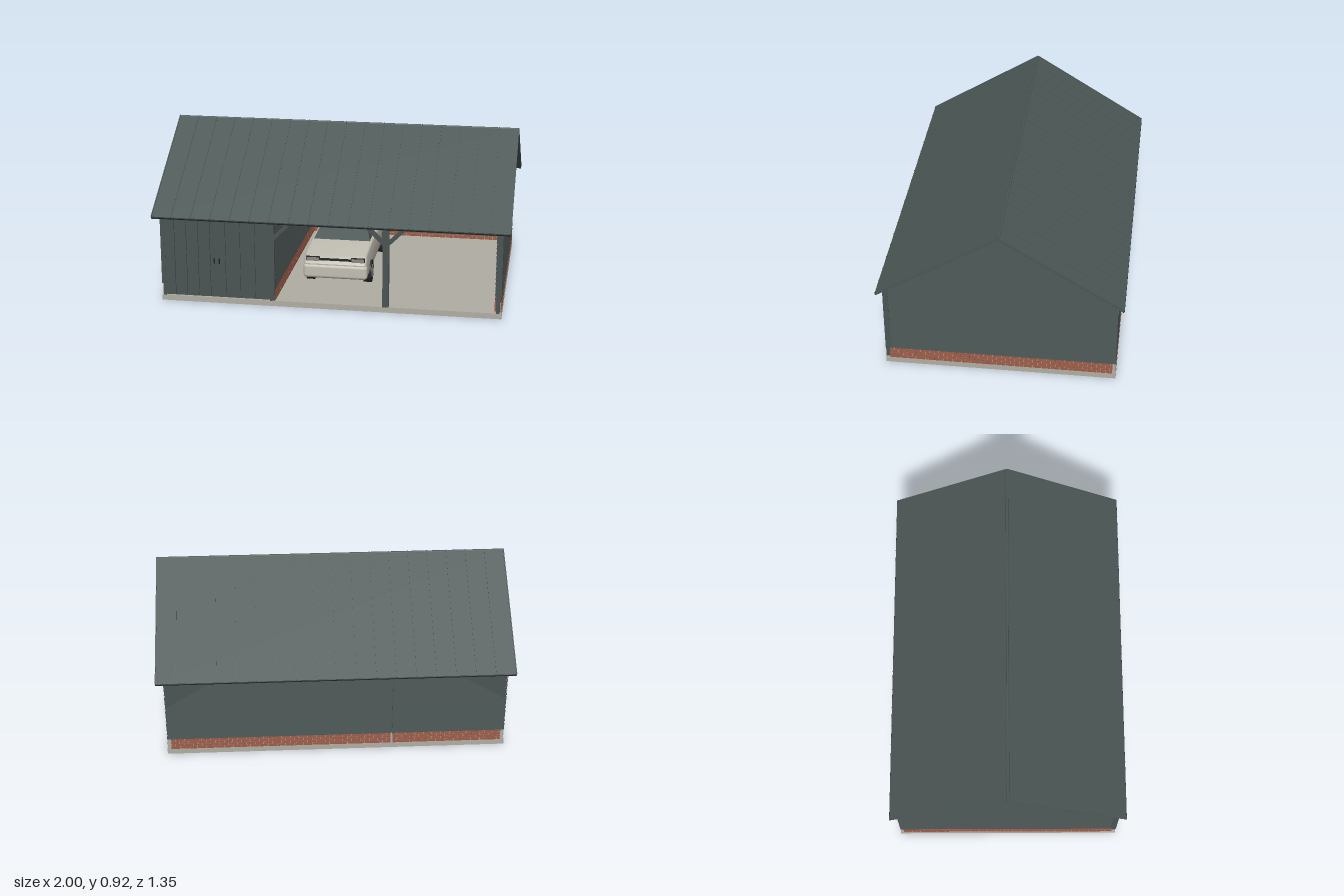
import * as THREE from 'three';
import { mergeGeometries, toCreasedNormals } from 'three/addons/utils/BufferGeometryUtils.js';
import { RoundedBoxGeometry } from 'three/addons/geometries/RoundedBoxGeometry.js';

const mat = (name, color) => {
  const m = new THREE.MeshStandardMaterial({ color });
  m.name = name;
  return m;
};

// Box between two corners
const box = (x0, x1, y0, y1, z0, z1) =>
  new THREE.BoxGeometry(x1 - x0, y1 - y0, z1 - z0).translate((x0 + x1) / 2, (y0 + y1) / 2, (z0 + z1) / 2);

const polygon = (pts) => new THREE.Shape(pts.map(([a, b]) => new THREE.Vector2(a, b)));

// Side profile in (z, y), extruded along x and centred on x = 0
const profile = (pts, width, bevel = 0) =>
  new THREE.ExtrudeGeometry(polygon(pts), {
    depth: width - 2 * bevel, bevelEnabled: bevel > 0, bevelSize: bevel, bevelThickness: bevel,
    bevelOffset: -bevel, bevelSegments: 3,
  }).translate(0, 0, bevel - width / 2).rotateY(-Math.PI / 2);

// Height of the roof underside at a given |z|, and the inverse
const SLOPE = 0.615, APEX = 0.9;
const roofReach = (y) => Math.max(0, (APEX - y) / SLOPE);

// Overlapping weatherboards facing +z; span(y) gives the left and right ends
function cladding(span, y0, y1, pitch = 0.03) {
  const boards = [];
  for (let y = y0; y < y1 - 0.005; y += pitch) {
    const top = Math.min(y + pitch, y1);
    const [a, b] = span(y), [c, d] = span(top);
    const g = new THREE.ExtrudeGeometry(polygon([[a, y], [b, y], [d, top], [c, top]]), { depth: 0.004, bevelEnabled: false });
    const p = g.attributes.position;
    for (let i = 0; i < p.count; i++) p.setZ(i, p.getZ(i) + 0.005 * (1 - (p.getY(i) - y) / pitch));
    g.computeVertexNormals();
    boards.push(g);
  }
  return mergeGeometries(boards);
}

// Staggered brick courses facing +z
function brickwork(u0, u1) {
  const bricks = [], len = 0.05, h = 0.0175, gap = 0.0025;
  for (let row = 0; row < 4; row++) {
    const y = 0.03 + row * h;
    for (let u = u0 - (row % 2) * len / 2; u < u1 - 0.004; u += len) {
      const a = Math.max(u, u0), b = Math.min(u + len - gap, u1);
      if (b - a > 0.003) bricks.push(box(a, b, y + (row ? gap : 0), y + h, 0, 0.006));
    }
  }
  return mergeGeometries(bricks);
}

export function createModel() {
  const timber = mat('dark painted timber', 0x4a5553);
  const roofing = mat('roof sheet', 0x4c5755);
  const concrete = mat('concrete and mortar', 0xb0aea3);
  const brick = mat('brick', 0x9c5d49);
  const iron = mat('black iron', 0x232827);
  const paint = mat('car paint', 0xc2bfb3);
  const glass = mat('glass', 0x46514f);
  const rubber = mat('tyre rubber', 0x2b2c2b);
  const lamp = mat('lamp lens', 0x8d8b82);

  const model = new THREE.Group();
  model.name = 'openFrontedGarage';
  const add = (name, geo, material, parent = model) => {
    const m = new THREE.Mesh(geo, material);
    m.name = name;
    parent.add(m);
    return m;
  };

  add('floorSlab', box(-0.96, 0.96, 0, 0.032, -0.64, 0.64), concrete);

  // Wall cores with light mortar plinths below
  const walls = new THREE.Group();
  walls.name = 'walls';
  model.add(walls);
  const gable = [[-0.63, 0.1], [0.63, 0.1], [0.63, 0.51], [0, APEX], [-0.63, 0.51]];
  for (const s of [-1, 1]) {
    add('gableCore', profile(gable, 0.02).translate(s * 0.94, 0, 0), timber, walls);
    add('gablePlinth', box(s * 0.944 - 0.012, s * 0.944 + 0.012, 0.03, 0.1, -0.638, 0.612), concrete, walls);
  }
  add('backCore', box(-0.95, 0.95, 0.1, 0.51, -0.63, -0.61), timber, walls);
  add('backPlinth', box(-0.955, 0.955, 0.03, 0.1, -0.636, -0.61), concrete, walls);
  add('partitionCore', box(-0.33, -0.315, 0.1, 0.51, -0.62, 0.62), timber, walls);
  add('partitionPlinth', box(-0.333, -0.312, 0.03, 0.1, -0.62, 0.628), concrete, walls);

  // Boarded and bricked faces: [name, angle, x, z, u0, u1, gabled]
  const H = Math.PI / 2, S = 0.315;
  const faces = [
    ['leftGable', H, 0.95, 0, -0.635, 0.638, true],
    ['rightGable', -H, -0.95, 0, -0.638, 0.635, true],
    ['backLeft', 2 * H, 0, -0.63, -0.955, S - 0.002, false],
    ['backRight', 2 * H, 0, -0.63, S + 0.002, 0.955, false],
    ['insideBack', 0, 0, -0.61, -0.31, 0.93, false],
    ['insideLeft', -H, 0.93, 0, -0.61, 0.62, false],
    ['partitionFace', H, -0.315, 0, -0.62, 0.61, false],
  ];
  for (const [name, angle, x, z, u0, u1, gabled] of faces) {
    const span = (y) => [Math.max(u0, -roofReach(y)), Math.min(u1, roofReach(y))];
    const place = (g) => g.rotateY(angle).translate(x, 0, z);
    add(name + 'Boards', place(cladding(span, 0.1, gabled ? 0.89 : 0.505)), timber, walls);
    const inset = gabled || name.startsWith('back') ? 0.018 : 0;
    const b0 = name === 'backRight' ? u0 + 0.004 : u0 + inset;
    const b1 = name === 'backLeft' ? u1 - 0.004 : u1 - inset;
    add(name + 'Bricks', place(brickwork(b0, b1).translate(0, 0, 0.003)), brick, walls);
  }

  // Front frame: posts, eaves beam and diagonal braces
  const frame = new THREE.Group();
  frame.name = 'frontFrame';
  model.add(frame);
  for (const [x0, x1] of [[0.3, 0.335], [-0.335, -0.308], [0.93, 0.95], [-0.95, -0.935]])
    add('post', box(x0, x1, 0.03, 0.5, 0.61, 0.64), timber, frame);
  for (const s of [-1, 1])
    add('cornerBoard', box(s * 0.953 - 0.006, s * 0.953 + 0.006, 0.1, 0.505, 0.61, 0.64), timber, frame);
  for (const z of [0.62, -0.62])
    add('eavesBeam', box(-0.95, 0.95, 0.482, 0.508, z - 0.015, z + 0.015), timber, frame);
  for (const [x, s] of [[0.335, 1], [0.3, -1], [-0.308, 1]]) {
    const pts = [[0, 0.39], [0.1, 0.49], [0.07, 0.49], [0, 0.42]].map(([a, y]) => [x + s * a, y]);
    const g = new THREE.ExtrudeGeometry(polygon(pts), { depth: 0.02, bevelEnabled: false });
    add('brace', g.translate(0, 0, 0.615), timber, frame);
  }
  for (const x of [-0.32, 0.318])
    add('tieBeam', box(x - 0.015, x + 0.015, 0.482, 0.508, -0.62, 0.62), timber, frame);

  // Store doors made of upright planks, with strap hinges and handles
  const doors = new THREE.Group();
  doors.name = 'storeDoors';
  model.add(doors);
  add('doorBacking', box(-0.935, -0.335, 0.034, 0.49, 0.615, 0.629), timber, doors);
  for (const [x0, x1] of [[-0.945, -0.673], [-0.669, -0.332]]) {
    const n = 4, w = (x1 - x0) / n;
    for (let i = 0; i < n; i++)
      add('doorPlank', box(x0 + i * w, x0 + (i + 1) * w - 0.003, 0.036, 0.488, 0.625, 0.638), timber, doors);
  }
  for (const y of [0.12, 0.41])
    for (const [x0, x1] of [[-0.94, -0.86], [-0.415, -0.335]])
      add('strapHinge', box(x0, x1, y - 0.004, y + 0.004, 0.637, 0.64), timber, doors);
  for (const x of [-0.65, -0.622])
    add('doorHandle', box(x - 0.003, x + 0.003, 0.235, 0.267, 0.637, 0.646), iron, doors);

  // Roof with standing seams and dark eave edges
  const roof = new THREE.Group();
  roof.name = 'roof';
  model.add(roof);
  const shell = [[-0.672, 0.505], [0, 0.92], [0.672, 0.505], [0.668, 0.491], [0, 0.902], [-0.668, 0.491]];
  add('roofShell', profile(shell.slice().reverse(), 1.996), roofing, roof);
  add('ridgeRoll', new THREE.CylinderGeometry(0.008, 0.008, 2, 10).rotateZ(H).translate(0, 0.914, 0), roofing, roof);
  const angle = Math.atan2(0.415, 0.672), length = Math.hypot(0.415, 0.672);
  for (const s of [-1, 1]) {
    for (let i = 0; i <= 18; i++) {
      const seam = new THREE.BoxGeometry(0.005, 0.006, length).rotateX(s * angle);
      add('roofSeam', seam.translate(-0.9975 + i * 0.11083, 0.7135, s * 0.336), roofing, roof);
    }
    add('eaveEdge', new THREE.CylinderGeometry(0.007, 0.007, 1.996, 8).rotateZ(H).translate(0, 0.499, s * 0.666), iron, roof);
  }

  // Parked car
  const car = new THREE.Group();
  car.name = 'car';
  model.add(car);
  const body = [[0.4, 0.1], [0.425, 0.115], [0.43, 0.19], [0.415, 0.21], [0.405, 0.242], [0.18, 0.255],
    [-0.42, 0.255], [-0.46, 0.24], [-0.47, 0.13], [-0.45, 0.1]].reverse();
  add('carBody', toCreasedNormals(profile(body, 0.36, 0.014), 0.7), paint, car);
  const taper = (g) => {
    const p = g.attributes.position;
    for (let i = 0; i < p.count; i++) p.setX(i, p.getX(i) * (1 - 0.24 * (p.getY(i) - 0.25) / 0.09));
    g.computeVertexNormals();
    return g;
  };
  add('carWindows', taper(profile([[-0.4, 0.25], [0.19, 0.25], [0.07, 0.335], [-0.32, 0.335]], 0.335)), glass, car);
  add('carRoof', new RoundedBoxGeometry(0.258, 0.01, 0.4, 2, 0.004).translate(0, 0.338, -0.125), paint, car);
  for (const [z0, z1] of [[0.0, -0.02], [-0.22, -0.24]])
    add('carPillar', taper(profile([[z1, 0.25], [z0, 0.25], [z0, 0.335], [z1, 0.335]], 0.341)), paint, car);
  add('frontBumper', new RoundedBoxGeometry(0.37, 0.085, 0.05, 3, 0.02).translate(0, 0.145, 0.412), paint, car);
  add('grille', box(-0.09, 0.09, 0.208, 0.22, 0.41, 0.42), iron, car);
  for (const s of [-1, 1]) {
    add('headlamp', box(s * 0.13 - 0.036, s * 0.13 + 0.036, 0.203, 0.224, 0.41, 0.421), lamp, car);
    add('headlampSurround', box(s * 0.13 - 0.04, s * 0.13 + 0.04, 0.199, 0.228, 0.405, 0.418), iron, car);
    add('tailLamp', box(s * 0.14 - 0.03, s * 0.14 + 0.03, 0.19, 0.22, -0.472, -0.464), brick, car);
    for (const z of [0.25, -0.28]) {
      add('tyre', new THREE.CylinderGeometry(0.066, 0.066, 0.045, 24).rotateZ(H).translate(s * 0.167, 0.098, z), rubber, car);
      add('wheelHub', new THREE.CylinderGeometry(0.038, 0.038, 0.006, 20).rotateZ(H).translate(s * 0.189, 0.098, z), lamp, car);
    }
  }
  return model;
}
